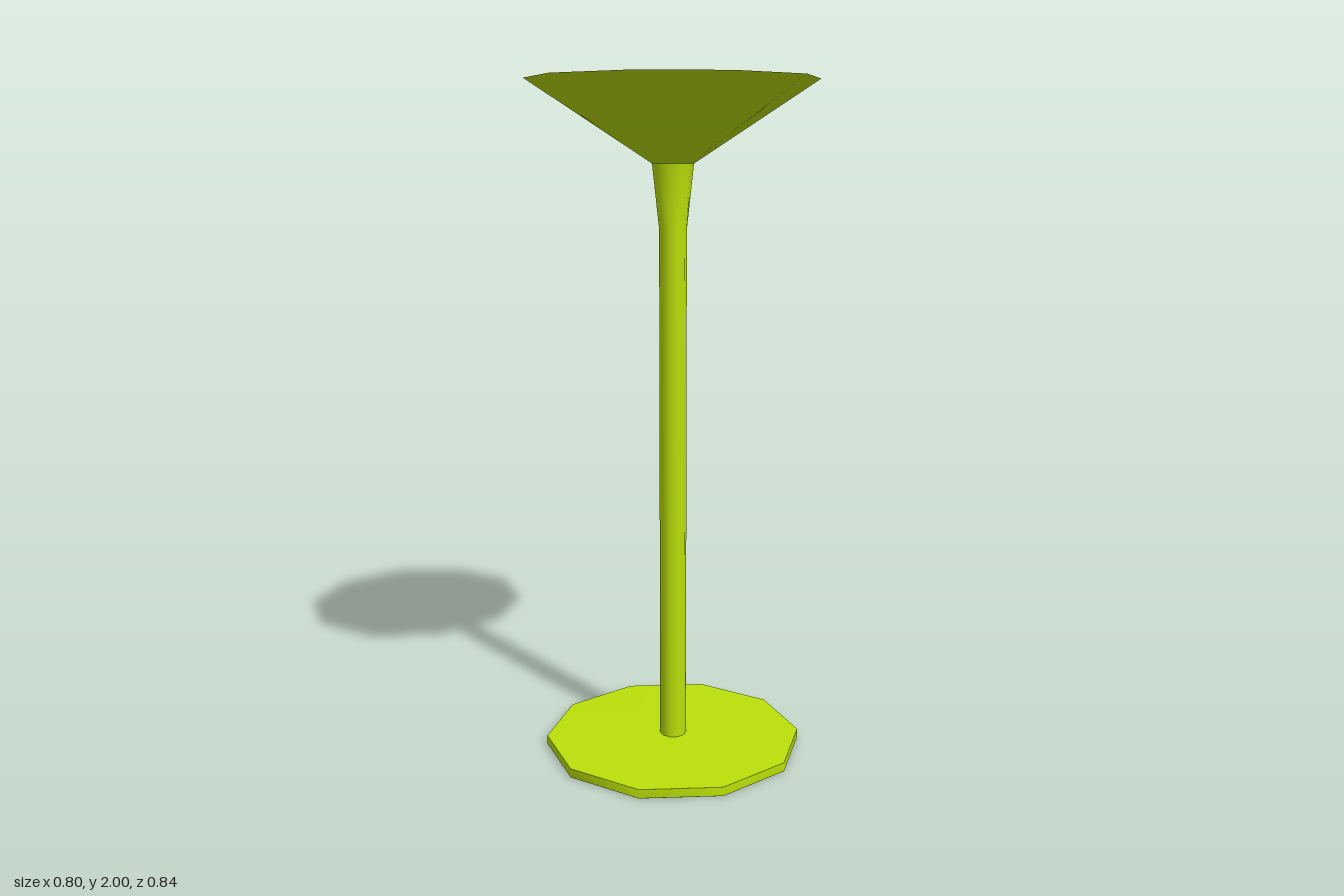
import * as THREE from 'three';

const SIDES = 10;

export function createModel() {
  const group = new THREE.Group();
  const material = new THREE.MeshStandardMaterial({ color: 0xbbe00a });

  // Ten-sided turned part from [radius, height] pairs, listed up the outside
  const turned = (name, profile) => {
    const points = profile.map(([r, y]) => new THREE.Vector2(r, y));
    const mesh = new THREE.Mesh(new THREE.LatheGeometry(points, SIDES), material);
    mesh.name = name;
    group.add(mesh);
  };

  // Flat foot: doubled corners keep its edges crisp
  turned('base', [
    [0, 0], [0.389, 0], [0.39, 0.001],
    [0.39, 0.027], [0.389, 0.028], [0, 0.03],
  ]);

  // Slender post that flares gently below the bowl
  turned('stem', [[0.04, 0.025], [0.04, 1.58], [0.06, 1.765]]);

  // Shallow conical bowl: outer wall, narrow rim, inner wall down to the centre
  turned('bowl', [[0.06, 1.765], [0.42, 2], [0.4, 1.995], [0, 1.785]]);

  return group;
}
